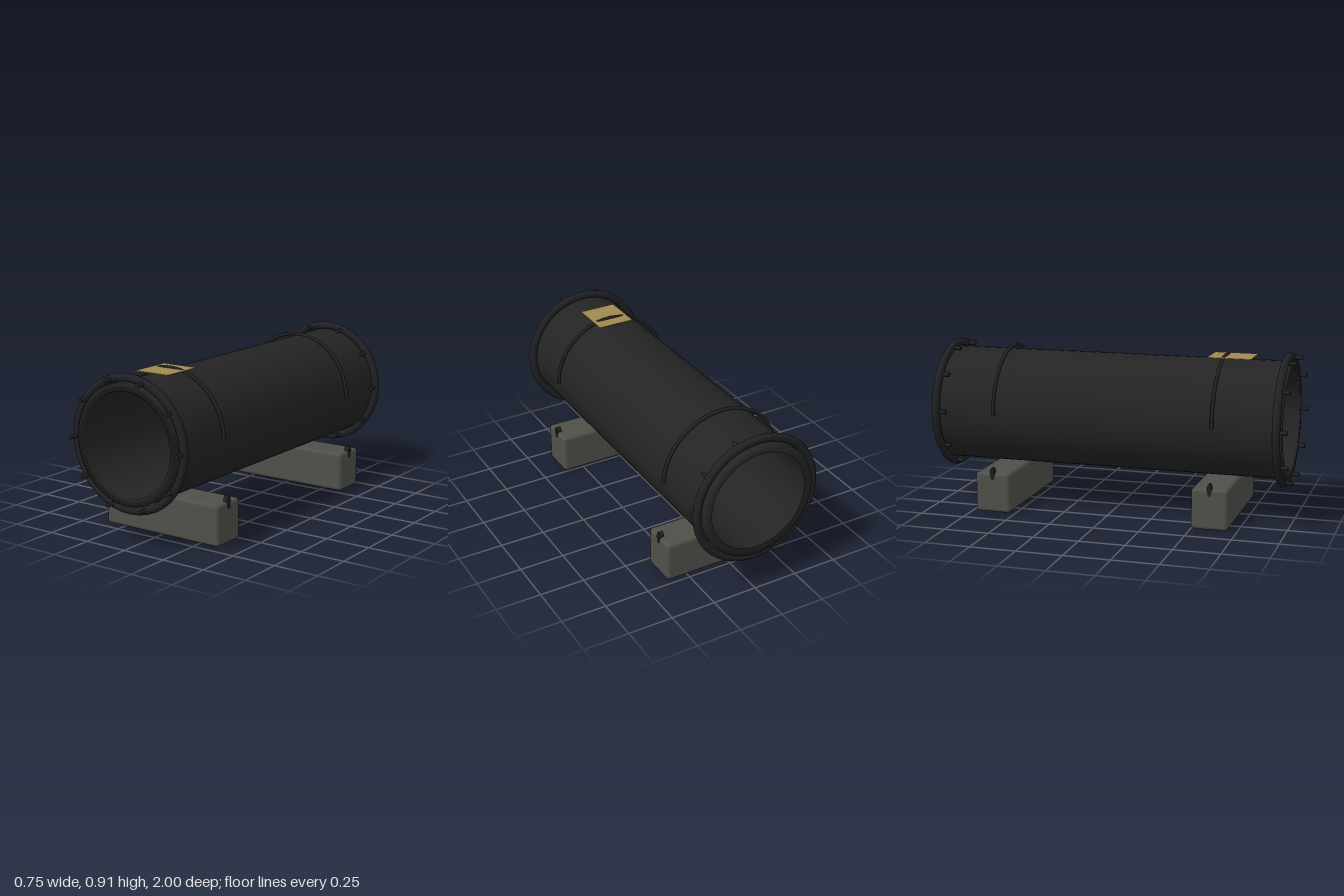
import * as THREE from 'three';
import { RoundedBoxGeometry } from 'three/addons/geometries/RoundedBoxGeometry.js';

const AXIS_Y = 0.545; // height of the tube's centre line

export function createModel() {
  const model = new THREE.Group();
  model.name = 'launchTube';

  const material = (name, color) => {
    const m = new THREE.MeshStandardMaterial({ color });
    m.name = name;
    return m;
  };
  const tubeBlack = material('tubeBlack', 0x242424);
  const trimBlack = material('trimBlack', 0x202122);
  const standGrey = material('standGrey', 0x50504a);
  const plateBrass = material('plateBrass', 0xa08a52);

  const add = (name, geometry, mat, x, y, z) => {
    const mesh = new THREE.Mesh(geometry, mat);
    mesh.name = name;
    mesh.position.set(x, y, z);
    model.add(mesh);
    return mesh;
  };

  // Hollow barrel: a closed wall section turned about the z axis, softly shaded
  const wall = [[0.277, -1], [0.32, -1], [0.32, 0.966], [0.277, 0.966], [0.277, -1]]
    .map(([r, z]) => new THREE.Vector2(r, z));
  const barrel = new THREE.LatheGeometry(wall, 48).rotateX(Math.PI / 2);
  add('barrel', barrel, tubeBlack, 0, AXIS_Y, 0);

  // End rings, each with ten bolts on its forward side
  const ring = new THREE.TorusGeometry(0.345, 0.022, 12, 40);
  const bolt = new THREE.CylinderGeometry(0.012, 0.012, 0.05, 10).rotateX(Math.PI / 2);
  for (const [end, z] of [['front', 0.942], ['back', -0.967]]) {
    add(end + 'Ring', ring, trimBlack, 0, AXIS_Y, z);
    for (let i = 0; i < 10; i++) {
      const a = (i * Math.PI) / 5;
      add(end + 'Bolt', bolt, trimBlack,
        0.342 * Math.cos(a), AXIS_Y + 0.342 * Math.sin(a), z + 0.033);
    }
  }

  // Stands, each with a half-hoop strap above and a hook on either side
  const stand = new RoundedBoxGeometry(0.74, 0.225, 0.2, 3, 0.02);
  const strap = new THREE.TorusGeometry(0.34, 0.01, 8, 32, Math.PI);
  const hook = new THREE.CylinderGeometry(0.013, 0.013, 0.029, 16)
    .rotateZ(Math.PI / 2).scale(1, 2.7, 1);
  for (const [end, z] of [['front', 0.6], ['back', -0.627]]) {
    add(end + 'Stand', stand, standGrey, 0, 0.1125, z);
    add(end + 'Strap', strap, trimBlack, 0, AXIS_Y, z);
    for (const side of [-1, 1]) {
      add(end + 'Hook', hook, trimBlack, side * 0.358, 0.22, z);
    }
  }

  // Thin plate on top of the barrel
  add('plate', new THREE.BoxGeometry(0.21, 0.005, 0.24), plateBrass, 0, 0.88, 0.637);

  return model;
}
